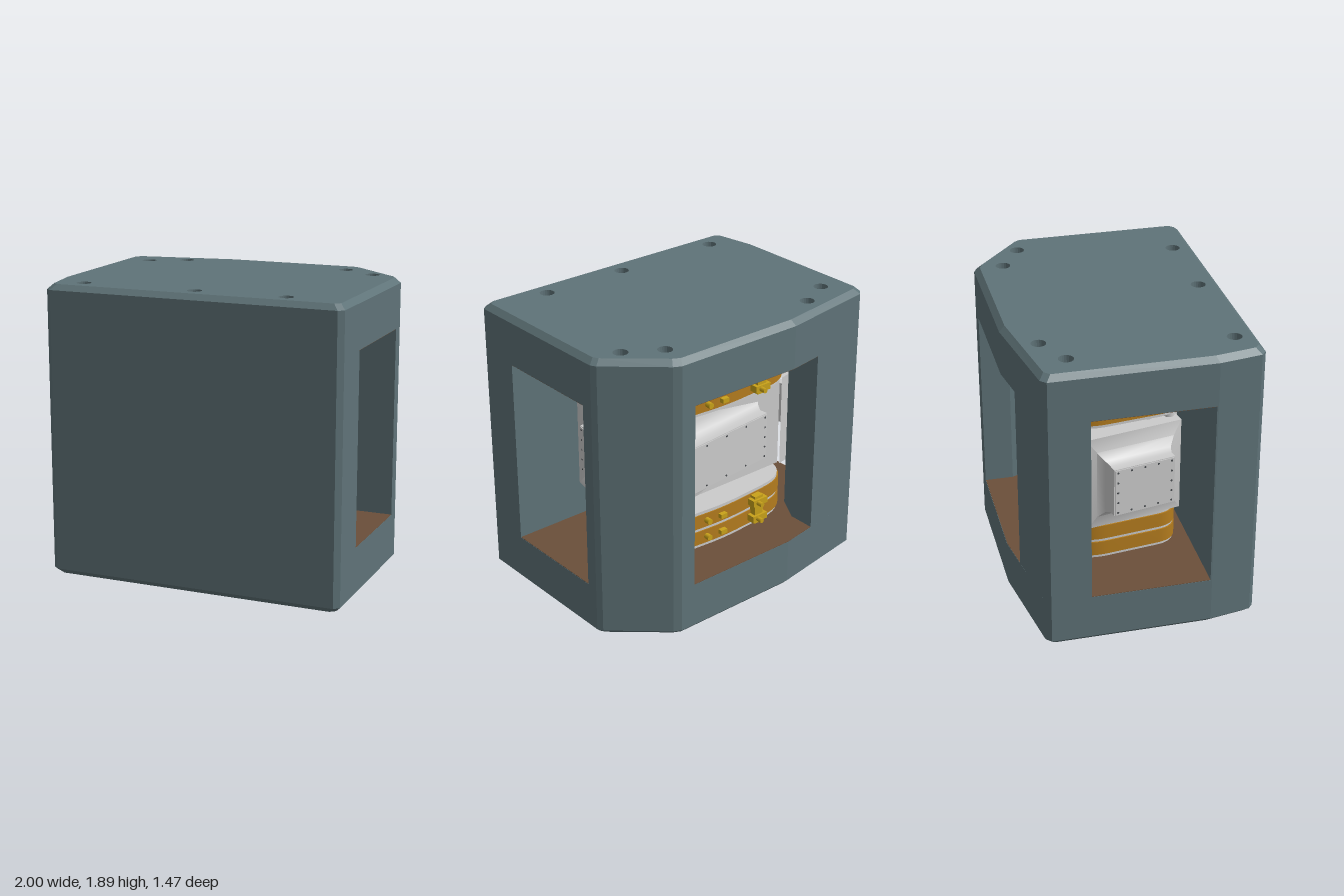
import * as THREE from 'three';
import { toCreasedNormals } from 'three/addons/utils/BufferGeometryUtils.js';

const mat = (color) => new THREE.MeshStandardMaterial({ color });
const teal = mat(0x5f7378), grey = mat(0xcccccc), orange = mat(0xb47c1e);
const brown = mat(0x6b4f3a), yellow = mat(0xc9a21a), dark = mat(0x4a4e52);

const H = 1.89, FLOOR = 0.33, CEIL = 1.57, CHAMFER = 0.035;

// plan outlines as [x, z]
const OUTLINE = [[-1, 0.43], [-0.955, 0.7], [-0.92, 0.73], [0.965, 0.73], [1, 0.7], [1, -0.39], [0.98, -0.425],
  [0.65, -0.715], [0.6, -0.74], [-0.3, -0.74], [-0.965, -0.63], [-1, -0.595]];
const FRONT_WALL = [[-1, 0.42], [1, 0.42], [1, 0.7], [0.965, 0.73], [-0.92, 0.73], [-0.955, 0.7], [-1, 0.43]];
const POST_A = [[1, -0.31], [1, -0.39], [0.98, -0.425], [0.65, -0.715], [0.6, -0.74], [0.5, -0.74], [0.5, -0.55], [0.6, -0.31]];
const POST_B = [[-1, -0.34], [-1, -0.595], [-0.965, -0.63], [-0.54, -0.7], [-0.54, -0.52], [-0.64, -0.34]];
const CAVITY = [[0.998, 0.42], [0.998, -0.31], [0.6, -0.31], [0.5, -0.55], [0.5, -0.738], [-0.3, -0.738],
  [-0.54, -0.698], [-0.54, -0.52], [-0.64, -0.34], [-0.998, -0.34], [-0.998, 0.42]];
const COIL = [[0.55, 0.335], [0.63, -0.28], [0.5, -0.42], [0, -0.46], [-0.5, -0.42], [-0.63, -0.28], [-0.55, 0.335]];
const HOLES = [[-0.8, -0.44], [-0.57, -0.555], [0.575, -0.555], [0.8, -0.42], [-0.755, 0.59], [0, 0.59], [0.595, 0.59]];
const HOLE_R = 0.047;

function add(parent, name, geometry, material, x = 0, y = 0, z = 0) {
  const mesh = new THREE.Mesh(geometry, material);
  mesh.name = name;
  mesh.position.set(x, y, z);
  parent.add(mesh);
  return mesh;
}

// closed shape from a plan outline, with corners rounded by up to r
function planShape(points, r = 0) {
  const v = points.map(([x, z]) => new THREE.Vector2(x, -z));
  if (!r) return new THREE.Shape(v);
  const shape = new THREE.Shape();
  v.forEach((p, i) => {
    const toward = (q) => p.clone().lerp(q, Math.min(r / p.distanceTo(q), 0.48));
    const a = toward(v[(i + v.length - 1) % v.length]), b = toward(v[(i + 1) % v.length]);
    if (i) shape.lineTo(a.x, a.y); else shape.moveTo(a.x, a.y);
    shape.quadraticCurveTo(p.x, p.y, b.x, b.y);
  });
  shape.closePath();
  return shape;
}

// upright prism between two heights
function prism(shape, y0, y1, steps = 1) {
  const g = new THREE.ExtrudeGeometry(shape, { depth: y1 - y0, steps, bevelEnabled: false, curveSegments: 10 });
  return g.rotateX(-Math.PI / 2).translate(0, y0, 0);
}

// yoke slab with bolt holes and a chamfer around its outer end
function slab(y0, y1, top) {
  const shape = planShape(OUTLINE);
  for (const [x, z] of HOLES) shape.holes.push(new THREE.Path().absarc(x, -z, HOLE_R, 0, Math.PI * 2, true));
  const g = prism(shape, y0, y1, 2), p = g.attributes.position;
  const end = top ? y1 : y0, mid = (y0 + y1) / 2;
  for (let i = 0; i < p.count; i++) {
    const x = p.getX(i), z = p.getZ(i), y = p.getY(i);
    if (Math.abs(y - mid) < 0.01) p.setY(i, top ? y1 - CHAMFER : y0 + CHAMFER);
    const inHole = HOLES.some(([hx, hz]) => Math.hypot(x - hx, z - hz) < HOLE_R * 1.1);
    if (Math.abs(y - end) < 0.001 && !inHole) {
      p.setX(i, x * (1 - CHAMFER));
      p.setZ(i, z * (1 - CHAMFER / 0.74));
    }
  }
  g.computeVertexNormals();
  return g;
}

// rectangular rings [halfWidth, halfHeight, z] joined and capped at the last ring
function rectLoft(rings) {
  const pos = [], index = [], n = rings.length;
  for (const [w, h, z] of rings) pos.push(-w, -h, z, w, -h, z, w, h, z, -w, h, z);
  for (let i = 0; i < n - 1; i++) {
    for (let k = 0; k < 4; k++) {
      const a = i * 4 + k, b = i * 4 + (k + 1) % 4;
      index.push(a, b, b + 4, a, b + 4, a + 4);
    }
  }
  const c = (n - 1) * 4;
  index.push(c, c + 1, c + 2, c, c + 2, c + 3);
  const g = new THREE.BufferGeometry();
  g.setAttribute('position', new THREE.Float32BufferAttribute(pos, 3));
  g.setIndex(index);
  return toCreasedNormals(g, 0.7);
}

// chamber port with a screwed cover plate
function port(parent, name, rings, x, z, angle) {
  const group = new THREE.Group();
  group.name = name;
  group.position.set(x, 0.948, z);
  group.rotation.y = angle;
  parent.add(group);
  add(group, 'portBody', rectLoft(rings), grey);
  const [w, h, end] = rings[rings.length - 1];
  add(group, 'coverPlate', new THREE.BoxGeometry(w * 2 - 0.01, h * 2 - 0.01, 0.012), grey, 0, 0, end);
  const screw = new THREE.CylinderGeometry(0.007, 0.007, 0.01, 10).rotateX(Math.PI / 2);
  for (let i = 0; i < 5; i++) for (let j = 0; j < 5; j++) {
    if (i % 4 && j % 4) continue;
    add(group, 'screw', screw, dark, (i / 2 - 1) * (w - 0.024), (j / 2 - 1) * (h - 0.022), end + 0.003);
  }
}

// one coil pack: two windings between three spacer plates, with its fittings
function coilPack(parent, name, y0) {
  const group = new THREE.Group();
  group.name = name;
  group.position.y = y0;
  parent.add(group);
  const shape = planShape(COIL, 0.14);
  const inner = planShape(COIL.map(([x, z]) => [x * 0.985, z * 0.985]), 0.14);
  const layer = (label, s, a, b, m) => add(group, label, toCreasedNormals(prism(s, a, b), 0.6), m);
  layer('spacer', inner, 0, 0.022, grey);
  layer('winding', shape, 0.022, 0.118, orange);
  layer('spacer', inner, 0.118, 0.14, grey);
  layer('winding', shape, 0.14, 0.236, orange);
  layer('spacer', inner, 0.236, 0.257, grey);
  // terminal block and pipe fittings on the back
  add(group, 'terminalBlock', new THREE.BoxGeometry(0.07, 0.2, 0.05), yellow, -0.27, 0.128, -0.46);
  for (const y of [0.07, 0.188]) {
    add(group, 'terminalClamp', new THREE.BoxGeometry(0.12, 0.045, 0.07), yellow, -0.27, y, -0.465);
    add(group, 'terminalStud', new THREE.CylinderGeometry(0.016, 0.016, 0.06, 12).rotateX(Math.PI / 2), yellow, -0.25, y, -0.51);
    add(group, 'pipeFitting', new THREE.CylinderGeometry(0.02, 0.02, 0.05, 12).rotateX(Math.PI / 2), yellow, 0.15, y, -0.46);
    add(group, 'pipeBlock', new THREE.BoxGeometry(0.05, 0.03, 0.04), yellow, 0.03, y, -0.465);
  }
}

export function createModel() {
  const model = new THREE.Group();

  // yoke: two slabs, front wall and two back posts
  const yoke = new THREE.Group();
  yoke.name = 'yoke';
  model.add(yoke);
  add(yoke, 'topSlab', slab(CEIL, H, true), teal);
  add(yoke, 'bottomSlab', slab(0, FLOOR, false), teal);
  add(yoke, 'frontWall', prism(planShape(FRONT_WALL), FLOOR, CEIL), teal);
  add(yoke, 'backPostLeft', prism(planShape(POST_A), FLOOR, CEIL), teal);
  add(yoke, 'backPostRight', prism(planShape(POST_B), FLOOR, CEIL), teal);
  for (const [x, z] of HOLES) for (const y of [0.1, H - 0.1]) {
    add(yoke, 'boltSeat', new THREE.CylinderGeometry(HOLE_R + 0.001, HOLE_R + 0.001, 0.08, 24), teal, x, y, z);
    add(yoke, 'boltHead', new THREE.CylinderGeometry(0.03, 0.03, 0.12, 24), teal, x, y, z);
  }

  // bare inner faces of the slabs
  add(model, 'cavityFloor', prism(planShape(CAVITY), FLOOR - 0.004, FLOOR + 0.003), brown);
  add(model, 'cavityCeiling', prism(planShape(CAVITY), CEIL - 0.003, CEIL + 0.004), brown);

  // poles and coils
  for (const y of [0.48, 1.42]) add(model, 'pole', new THREE.BoxGeometry(0.9, 0.306, 0.3), dark, 0, y, -0.02);
  coilPack(model, 'lowerCoil', 0.346);
  coilPack(model, 'upperCoil', 1.29);

  // chamber with three ports
  const chamber = new THREE.Group();
  chamber.name = 'chamber';
  model.add(chamber);
  add(chamber, 'chamberBody', prism(planShape([[0.48, 0.33], [0.6, -0.3], [-0.6, -0.3], [-0.48, 0.33]]), 0.632, 1.265), grey);
  port(chamber, 'leftPort', [[0.32, 0.317, -0.1], [0.32, 0.317, 0], [0.305, 0.302, 0], [0.26, 0.23, -0.035],
    [0.225, 0.185, -0.065], [0.205, 0.163, -0.08], [0.205, 0.163, 0.035]], 0.64, 0.015, 1.38);
  port(chamber, 'rightPort', [[0.32, 0.317, -0.1], [0.32, 0.317, 0], [0.26, 0.23, 0.02], [0.22, 0.18, 0.06],
    [0.205, 0.163, 0.1], [0.205, 0.163, 0.15]], -0.64, 0.015, -1.38);
  port(chamber, 'backPort', [[0.53, 0.317, -0.16], [0.46, 0.24, -0.14], [0.41, 0.185, -0.1],
    [0.387, 0.163, -0.06], [0.387, 0.163, 0]], -0.005, -0.45, -3.04);

  // studs between the chamber and the coils
  const stud = new THREE.CylinderGeometry(0.035, 0.035, 0.035, 16);
  for (const y of [0.618, 1.278]) for (const x of [-0.5, 0.5]) for (const z of [0.27, 0.13, -0.03, -0.18]) {
    add(model, 'stud', stud, grey, x, y, z);
  }
  return model;
}
